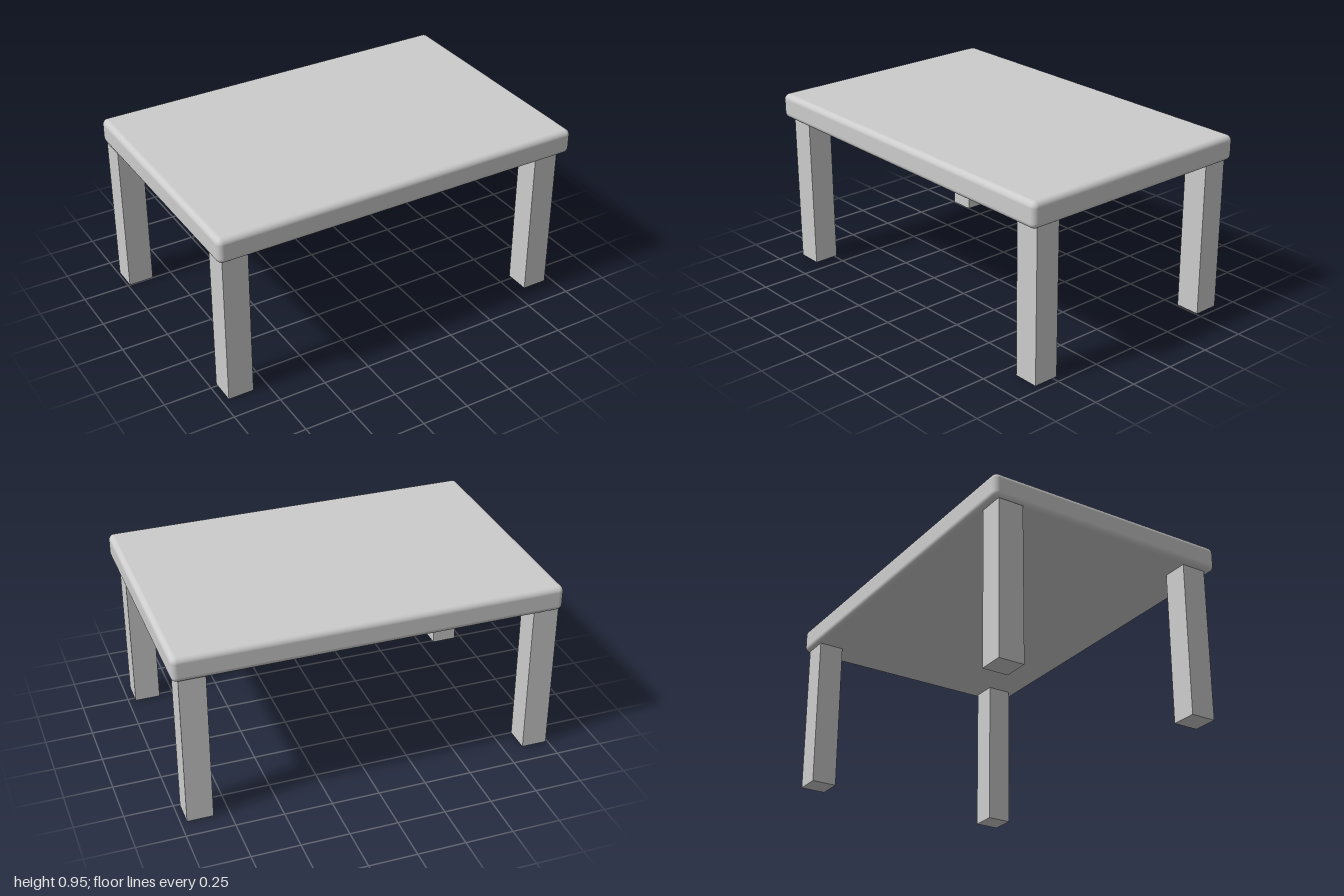
import * as THREE from 'three';
import { RoundedBoxGeometry } from 'three/addons/geometries/RoundedBoxGeometry.js';

export function createModel() {
  const table = new THREE.Group();
  table.name = 'table';

  const grey = new THREE.MeshStandardMaterial({ color: 0xcccccc });
  grey.name = 'light grey';

  // Thick slab with softly rounded edges
  const topHeight = 0.133, underside = 0.82;
  const top = new THREE.Mesh(new RoundedBoxGeometry(2, topHeight, 1.332, 5, 0.03), grey);
  top.name = 'tableTop';
  top.position.y = underside + topHeight / 2;
  table.add(top);

  // Four square legs, each set slightly unevenly under its corner
  const legWidth = 0.135;
  const legGeometry = new THREE.BoxGeometry(legWidth, underside, legWidth);
  const legs = [
    ['frontLeftLeg', 0.894, 0.543],
    ['frontRightLeg', -0.896, 0.553],
    ['backLeftLeg', 0.9, -0.576],
    ['backRightLeg', -0.922, -0.568],
  ];
  for (const [name, x, z] of legs) {
    const leg = new THREE.Mesh(legGeometry, grey);
    leg.name = name;
    leg.position.set(x, underside / 2, z);
    table.add(leg);
  }
  return table;
}
